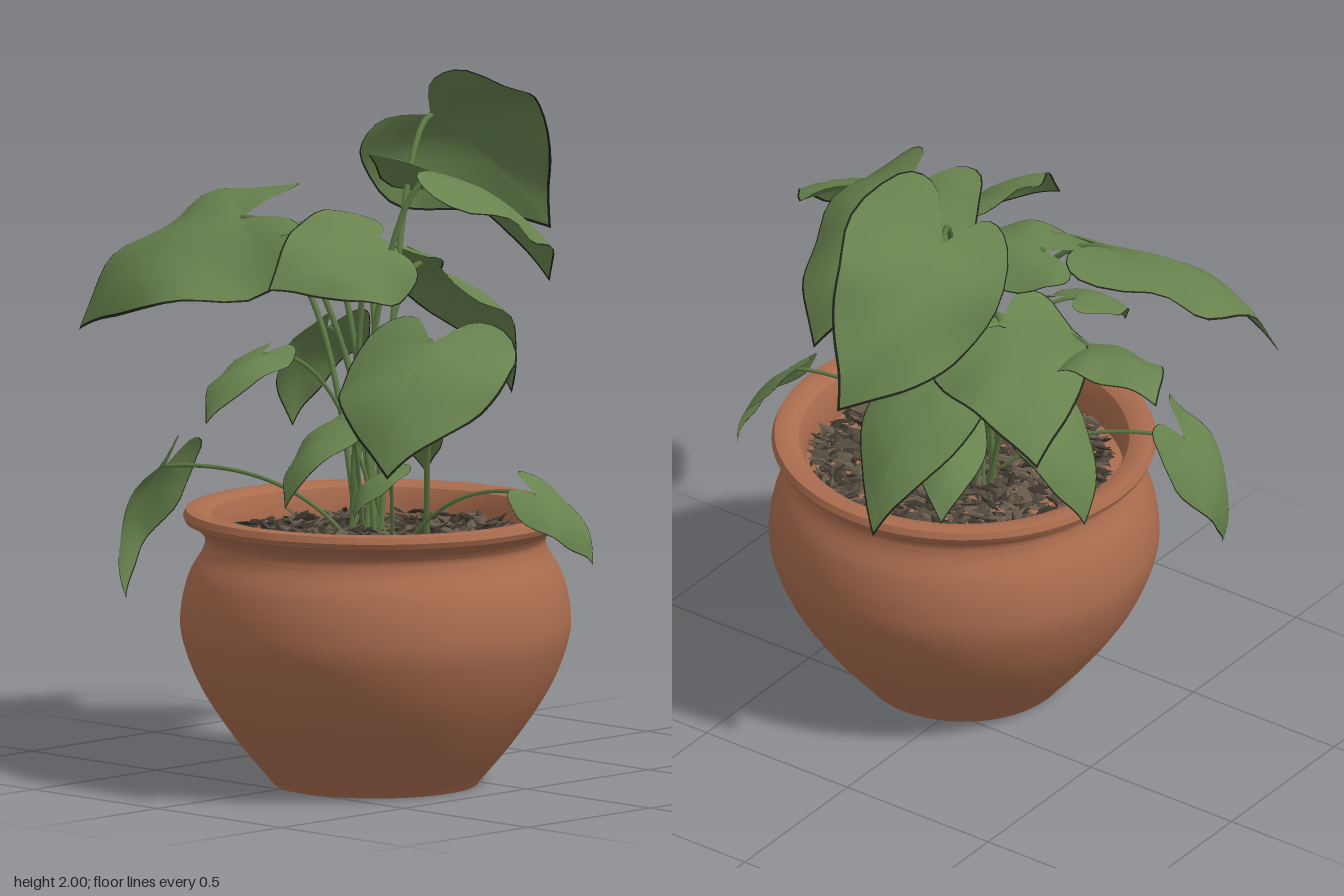
import * as THREE from 'three';
import { mergeGeometries, toCreasedNormals } from 'three/addons/utils/BufferGeometryUtils.js';

const V = (a) => new THREE.Vector3(...a);
const POT = [0.11, 0, 0.22];

const mat = (name, color, side = THREE.FrontSide) => {
  const m = new THREE.MeshStandardMaterial({ color, side });
  m.name = name;
  return m;
};

function seeded(seed) {
  return () => {
    seed = (seed * 16807) % 2147483647;
    return seed / 2147483647;
  };
}

// Heart-shaped blade outline: x along the midrib, y half width, stalk joint at the origin
function outline() {
  const curve = new THREE.SplineCurve([[-0.02, 0.02], [-0.24, 0.35], [-0.2, 0.75], [0.15, 1],
    [0.45, 0.86], [0.7, 0.54], [0.87, 0.23], [1, 0]].map((p) => new THREE.Vector2(...p)));
  const half = curve.getPoints(24);
  return half.concat(half.slice(0, -1).reverse().map((p) => new THREE.Vector2(p.x, -p.y)));
}

// Blade from joint to tip: arched midrib, drooping wavy edges, rolled about its length.
// The outermost thin ring is a second material group, the dry dark margin.
function leafGeometry(base, tip, roll, broad, phase) {
  const along = V(tip).sub(V(base));
  const length = along.length();
  const width = length * broad;
  const d = along.normalize();
  const s = new THREE.Vector3(d.z, 0, -d.x).normalize().applyAxisAngle(d, roll);
  const n = d.clone().cross(s);
  const loop = outline();
  const count = loop.length;
  const rings = 8;
  const pos = [...base];
  const index = [];
  for (let r = 1; r <= rings; r++) {
    const k = r === rings ? 1 : 0.98 * r / (rings - 1);
    loop.forEach((p) => {
      const a = p.x * k;
      const b = p.y * k;
      const h = length * 0.56 * a * (1 - a) * (a < 0 ? 0.5 : 1) - width * 0.16 * b * b
        + width * 0.05 * Math.abs(b) * Math.sin(9 * a + phase + b * 2);
      const v = V(base).addScaledVector(d, a * length)
        .addScaledVector(s, b * width / 2).addScaledVector(n, h);
      pos.push(v.x, v.y, v.z);
    });
  }
  for (let i = 0; i < count - 1; i++) index.push(0, 2 + i, 1 + i);
  for (let r = 0; r < rings - 1; r++) {
    for (let i = 0; i < count - 1; i++) {
      const p = 1 + r * count + i;
      index.push(p, p + count + 1, p + count, p, p + 1, p + count + 1);
    }
  }
  const g = new THREE.BufferGeometry();
  g.setAttribute('position', new THREE.Float32BufferAttribute(pos, 3));
  g.setIndex(index);
  g.computeVertexNormals();
  const margin = (count - 1) * 6;
  g.addGroup(0, index.length - margin, 0);
  g.addGroup(index.length - margin, margin, 1);
  return g;
}

// Stalk rising from the soil and bending over to the blade
function stemGeometry(root, base) {
  const a = V(root);
  const b = V(base);
  const mid = a.clone().lerp(b, 0.35);
  mid.y = b.y + 0.04;
  const curve = new THREE.QuadraticBezierCurve3(a, mid, b);
  return new THREE.TubeGeometry(curve, 20, b.y > 1.3 ? 0.009 : 0.006, 6);
}

export function createModel() {
  const model = new THREE.Group();
  model.name = 'pottedPlant';
  const terracotta = mat('terracotta', 0xaa6c4e);
  const leafGreen = mat('leaf green', 0x68834e, THREE.DoubleSide);
  const leafMargin = mat('dark leaf margin', 0x20241a, THREE.DoubleSide);
  const stemGreen = mat('stem green', 0x5d7843);
  const barks = [mat('dark bark', 0x3c352d), mat('bark', 0x51483d), mat('pale bark', 0x665a4b)];
  const add = (geometry, material, name, parent = model) => {
    const mesh = new THREE.Mesh(geometry, material);
    mesh.name = name;
    parent.add(mesh);
    return mesh;
  };

  // Pot: rounded belly, narrow neck, rolled rim and shallow inner floor
  const P = (p) => new THREE.Vector2(...p);
  const belly = new THREE.SplineCurve([[0.3, 0.01], [0.4, 0.13], [0.5, 0.28], [0.555, 0.42], [0.558, 0.52],
    [0.535, 0.61], [0.498, 0.675], [0.49, 0.715], [0.515, 0.745], [0.546, 0.762]].map(P)).getPoints(44);
  const rim = [[0.553, 0.778], [0.545, 0.797], [0.53, 0.8], [0.5, 0.798], [0.475, 0.785],
    [0.457, 0.74], [0.46, 0.67], [0, 0.67]].map(P);
  const profile = [P([0, 0]), P([0.293, 0]), ...belly, ...rim];
  add(toCreasedNormals(new THREE.LatheGeometry(profile, 72), 0.7), terracotta, 'pot').position.set(...POT);

  // Loose bark shards heaped on the floor, thinner towards the front edge
  const rand = seeded(4711);
  const chips = [[], [], []];
  for (let i = 0; i < 1800; i++) {
    const r = 0.425 * Math.sqrt(rand());
    const t = rand() * Math.PI * 2;
    const g = new THREE.OctahedronGeometry(1);
    g.scale(0.02 + rand() * 0.022, 0.007, 0.01 + rand() * 0.009);
    g.rotateX((rand() - 0.5) * 1.6);
    g.rotateZ((rand() - 0.5) * 1.1);
    g.rotateY(rand() * Math.PI * 2);
    g.translate(POT[0] + r * Math.cos(t), 0.685 + rand() * 0.045, POT[2] - 0.015 + r * Math.sin(t));
    chips[i % 3].push(g);
  }
  chips.forEach((list, i) => add(mergeGeometries(list), barks[i], 'barkShards' + (i + 1)));

  // One leaf on its stalk; right-hand stalks root nearer the right of the pot
  let number = 0;
  const addLeaf = (base, tip, roll, broad) => {
    const i = number++;
    const plant = new THREE.Group();
    plant.name = 'leafStalk' + number;
    model.add(plant);
    const rootX = base[0] > 0.3 ? 0.2 : 0.03;
    const root = [rootX + 0.05 * Math.cos(i * 2.4), 0.68, 0.17 + 0.05 * Math.sin(i * 2.4)];
    add(leafGeometry(base, tip, roll, broad, i * 1.7), [leafGreen, leafMargin], 'leaf', plant);
    add(stemGeometry(root, base), stemGreen, 'stem', plant);
  };

  // Tall back leaves
  addLeaf([-0.22, 1.84, -0.34], [-0.16, 1.47, -0.77], -0.93, 0.92);
  addLeaf([0.13, 1.74, -0.02], [0.17, 1.39, -0.43], 0.15, 0.9);
  addLeaf([-0.27, 1.48, -0.12], [-0.6, 1.25, -0.4], 0, 0.95);
  addLeaf([-0.2, 1.42, -0.28], [-0.2, 1, -0.65], 0, 0.65);
  // Left leaves
  addLeaf([-0.5, 1.42, 0], [-0.82, 1.4, -0.12], -0.2, 0.95);
  addLeaf([-0.4, 1.59, 0.25], [-0.79, 1.25, 0.52], -0.42, 1.05);
  addLeaf([-0.5, 0.88, 0.46], [-0.56, 0.5, 0.56], 0.75, 0.65);
  addLeaf([-0.4, 1.23, -0.1], [-0.58, 0.92, -0.14], 0, 0.72);
  // Middle leaves
  addLeaf([-0.24, 1.58, 0.14], [0.1, 1.46, 0.08], -0.18, 0.8);
  addLeaf([0.11, 1.56, 0.23], [0.03, 1.46, 0.58], -0.75, 0.98);
  // Front and right leaves
  addLeaf([0.56, 1.35, 0.45], [0.67, 1, 0.74], 0, 1.12);
  addLeaf([0.64, 0.88, 0.1], [0.72, 0.67, -0.05], 0.8, 0.72);
  addLeaf([0.17, 1.08, 0.42], [0.13, 0.84, 0.61], 0, 0.65);
  addLeaf([-0.14, 1.24, 0.43], [-0.15, 1.06, 0.65], 0, 0.68);
  addLeaf([0.33, 0.95, 0.39], [0.3, 0.82, 0.5], 0, 0.8);
  // Short inner leaf
  addLeaf([-0.05, 1, -0.05], [-0.15, 0.82, -0.25], 0, 0.7);
  return model;
}
